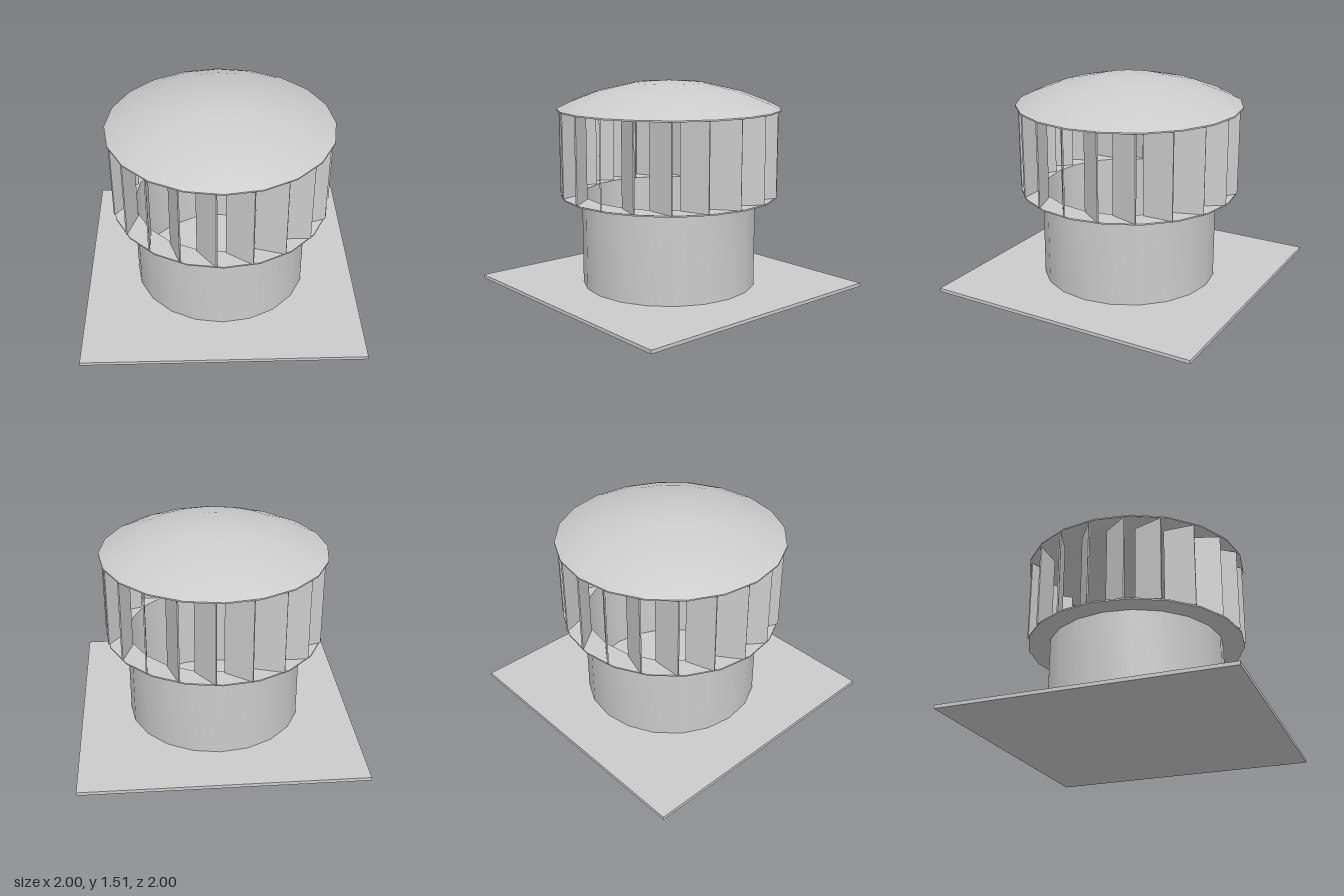
import * as THREE from 'three';
import { toCreasedNormals } from 'three/addons/utils/BufferGeometryUtils.js';

const SIDES = 20;
const material = new THREE.MeshStandardMaterial({ color: 0xcccccc, side: THREE.DoubleSide });

function addPart(parent, name, geometry) {
  const mesh = new THREE.Mesh(geometry, material);
  mesh.name = name;
  parent.add(mesh);
  return mesh;
}

// Closed ring or shell turned from a list of [radius, height] points
function turned(points) {
  const profile = points.map(([r, y]) => new THREE.Vector2(r, y));
  return toCreasedNormals(new THREE.LatheGeometry(profile, SIDES), 0.6);
}

export function createModel() {
  const model = new THREE.Group();
  model.name = 'roofVentilator';

  // Square mounting plate
  const baseHeight = 0.025;
  addPart(model, 'basePlate', new THREE.BoxGeometry(2, baseHeight, 2)).position.y = baseHeight / 2;

  // Open duct with a thin wall
  const ductTop = 0.685;
  addPart(model, 'duct', turned([
    [0.635, baseHeight], [0.635, ductTop], [0.625, ductTop], [0.625, baseHeight],
  ]));

  // Flat ring that carries the blades
  addPart(model, 'lowerRing', turned([
    [0.625, 0.68], [0.79, 0.68], [0.79, 0.69], [0.625, 0.69], [0.625, 0.68],
  ]));

  // Upright blades, each turned 45 degrees to the rim
  const bladeBottom = 0.69, bladeTop = 1.305;
  const bladeGeometry = new THREE.BoxGeometry(0.22, bladeTop - bladeBottom, 0.01);
  const blades = new THREE.Group();
  blades.name = 'blades';
  for (let i = 0; i < SIDES; i++) {
    const arm = new THREE.Group();
    arm.name = 'bladeArm';
    arm.rotation.y = ((i + 0.5) / SIDES) * Math.PI * 2;
    const blade = addPart(arm, 'blade', bladeGeometry);
    blade.position.set(0, (bladeBottom + bladeTop) / 2, 0.71);
    blade.rotation.y = -Math.PI / 4;
    blades.add(arm);
  }
  model.add(blades);

  // Shallow domed cap, a thin shell cut from a sphere
  const capRadius = 0.81, rimY = 1.31, rise = 0.2, thickness = 0.01;
  const sphere = (capRadius ** 2 + rise ** 2) / (2 * rise);
  const outer = [];
  for (const r of [capRadius, 0.71, 0.53, 0.25, 0]) {
    outer.push([r, rimY + rise - sphere + Math.sqrt(sphere ** 2 - r ** 2)]);
  }
  const inner = outer.map(([r, y]) => [r, y - thickness]).reverse();
  addPart(model, 'cap', turned([...inner, ...outer]));

  return model;
}
